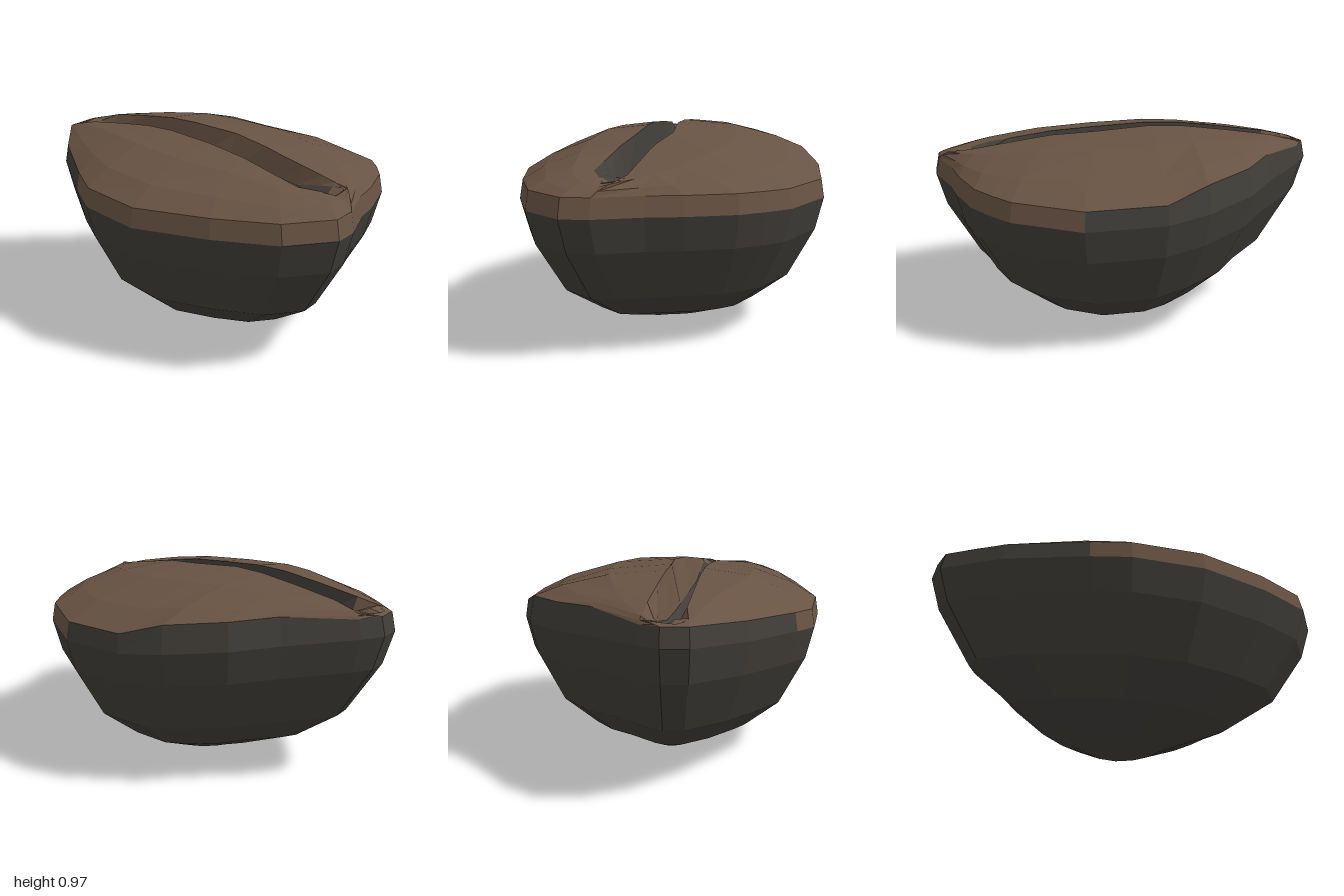
import * as THREE from 'three';

const mat = (name, color) => {
  const m = new THREE.MeshStandardMaterial({ color, flatShading: true });
  m.name = name;
  return m;
};

// piecewise linear lookup in a list of [z, value], z descending
function lookup(table, z) {
  for (let i = 1; i < table.length; i++) {
    const [z0, v0] = table[i - 1], [z1, v1] = table[i];
    if (z >= z1) return v0 + (v1 - v0) * Math.min(1, Math.max(0, (z0 - z) / (z0 - z1)));
  }
  return table[table.length - 1][1];
}

// widest outline, each half running from the front tip to the back tip: [x, z]
const RIGHT_X = [[-.17, .97], [.04, .87], [.2, .82], [.42, .72], [.53, .63], [.63, .53], [.76, .2],
  [.73, -.17], [.64, -.37], [.45, -.6], [.25, -.73], [-.02, -.95], [-.12, -1]];
const LEFT_X = [[-.17, .97], [-.3, .99], [-.4, .92], [-.5, .85], [-.57, .71], [-.64, .57], [-.76, .2],
  [-.74, -.15], [-.66, -.33], [-.46, -.7], [-.35, -.835], [-.24, -.97], [-.12, -1]];

// stations along the slit and its edges
const SLIT_Z = [.85, .78, .7, .58, .45, .35, .12, -.15, -.33, -.55, -.78, -.88, -.94];
const EDGE_Y = [[.97, .77], [.88, .83], [.35, .925], [0, .96], [-.25, .972], [-.75, .92], [-.95, .87]];
const FLOOR_Y = [[.85, .81], [.7, .79], [.45, .74], [-.5, .74], [-.78, .8], [-.94, .86]];
const EDGE_X = {
  plus: [[.85, -.06], [.45, -.04], [.35, -.03], [.12, 0], [-.15, -.03], [-.94, -.03]],
  minus: [[.85, -.14], [.7, -.23], [.45, -.21], [.12, -.19], [-.78, -.2], [-.94, -.23]],
};

const lift = z => (z < 0 ? -.11 * z : .03 * z);
const ringPoint = ([x, z], s, y) => new THREE.Vector3(x * s, y + lift(z * s), z * s);

// one cross-section of a half: rim, cap, slit edge, slit wall, slit floor
function column(side, p, i) {
  const z = SLIT_Z[i];
  const chipped = side === 'plus' && p[1] < -.2 && p[1] > -.9;
  const low = ringPoint(p, 1, .66);
  const rim = ringPoint(p, chipped ? .965 : .98, chipped ? .79 : .75);
  const edge = new THREE.Vector3(lookup(EDGE_X[side], z), lookup(EDGE_Y, z) - (side === 'minus' ? .015 : 0), z);
  const floor = new THREE.Vector3(-.12, lookup(FLOOR_Y, z), z);
  const cap = [.22, .58].map(t => {
    const q = rim.clone().lerp(edge, t);
    q.y = rim.y + (edge.y - rim.y) * (1 - Math.pow(1 - t, 2.2));
    return q;
  });
  const wall = new THREE.Vector3(side === 'plus' ? -.075 : -.165, Math.min(edge.y, floor.y + .03), z);
  return [low, rim, ...cap, edge, wall, floor];
}

function builder() {
  const pos = [];
  return {
    quad(a, b, c, d) {
      for (const v of [a, b, c, a, c, d]) pos.push(v.x, v.y, v.z);
    },
    mesh(name, material) {
      const g = new THREE.BufferGeometry();
      g.setAttribute('position', new THREE.Float32BufferAttribute(pos, 3));
      g.computeVertexNormals();
      const m = new THREE.Mesh(g, material);
      m.name = name;
      return m;
    },
  };
}

export function createModel() {
  const brown = mat('nut brown', 0x685343);
  const dark = mat('dark husk', 0x413e39);
  const group = new THREE.Group();
  group.name = 'splitNut';

  const husk = builder(), huskRim = builder(), cap = builder(), slit = builder();

  // rounded lower husk from shrinking rings
  const outline = [...RIGHT_X, ...LEFT_X.slice(1, -1).reverse()];
  const levels = [[0, 0], [.25, .015], [.55, .11], [.78, .25], [.95, .5], [1, .66]];
  for (let k = 1; k < levels.length; k++) {
    outline.forEach((p, i) => {
      const n = outline[(i + 1) % outline.length];
      const [lo, hi] = [levels[k - 1], levels[k]];
      husk.quad(ringPoint(p, ...lo), ringPoint(n, ...lo), ringPoint(n, ...hi), ringPoint(p, ...hi));
    });
  }

  // rim, brown cap and slit of both halves
  const plus = RIGHT_X.map((p, i) => column('plus', p, i));
  const minus = LEFT_X.map((p, i) => column('minus', p, i));
  const strip = (a, b, huskFrom, wallPart) => (i, flip) => {
    for (let j = 0; j < 6; j++) {
      const part = j === 0 ? (i >= huskFrom ? huskRim : cap)
        : j < 4 ? cap
        : i < 1 || i > 9 ? cap
        : j === 4 ? wallPart : slit;
      if (flip) part.quad(b[j], a[j], a[j + 1], b[j + 1]);
      else part.quad(a[j], b[j], b[j + 1], a[j + 1]);
    }
  };
  for (let i = 0; i < 12; i++) {
    strip(plus[i], plus[i + 1], 6, cap)(i, false);
    strip(minus[i], minus[i + 1], 8, slit)(i, true);
  }

  // close the tips between the two halves
  for (let j = 1; j < 6; j++) {
    cap.quad(minus[0][j], plus[0][j], plus[0][j + 1], minus[0][j + 1]);
    cap.quad(plus[12][j], minus[12][j], minus[12][j + 1], plus[12][j + 1]);
  }

  group.add(
    husk.mesh('lowerHusk', dark),
    huskRim.mesh('huskRim', dark),
    cap.mesh('brownCap', brown),
    slit.mesh('slit', dark),
  );
  return group;
}
